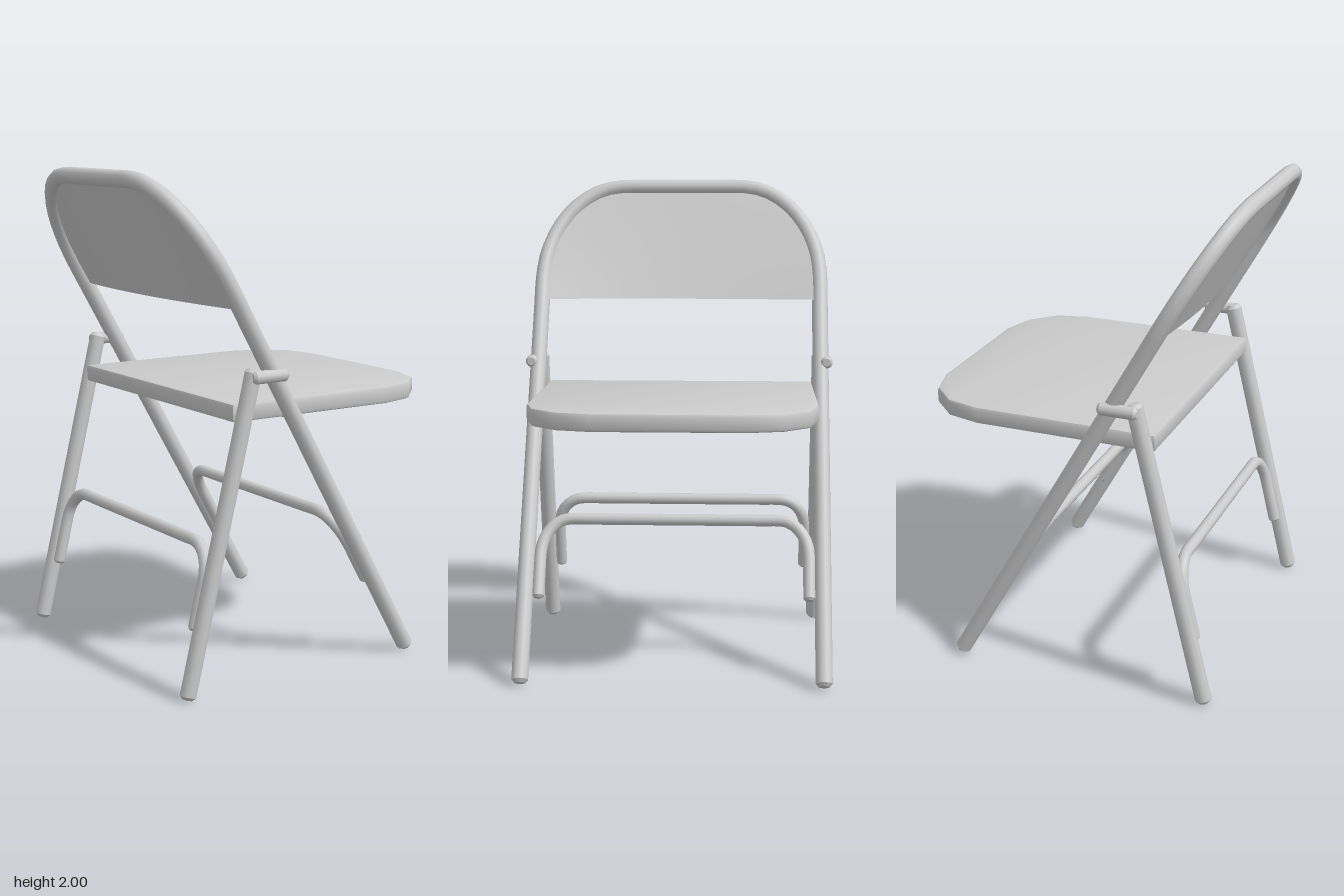
import * as THREE from 'three';
import { toCreasedNormals } from 'three/addons/utils/BufferGeometryUtils.js';

const material = new THREE.MeshStandardMaterial({ color: 0xcccccc });
const V = (x, y, z) => new THREE.Vector3(x, y, z);

// Depth of the two leaning planes at a given height (z is forward)
const frameZ = (y) => 0.54 - 0.568 * (y - 0.02);
const rearZ = (y) => -0.535 + 0.242 * (y - 0.02);

// Top bend of the main frame: elliptical corners between legs and flat top
const HALF = 0.605, FLAT = 0.255, BEND_Y = 1.57, TOP_Y = 1.967;

function mesh(name, geometry) {
  const m = new THREE.Mesh(geometry, material);
  m.name = name;
  return m;
}

// Round tube through points, closed by a small bevelled plug at each end
function tube(name, points, radius, segments) {
  const group = new THREE.Group();
  group.name = name;
  const curve = new THREE.CatmullRomCurve3(points);
  group.add(mesh(name + 'Tube', new THREE.TubeGeometry(curve, segments, radius, 10, false)));
  const bevel = radius * 0.4;
  for (const t of [0, 1]) {
    const out = curve.getTangent(t).multiplyScalar(t ? 1 : -1);
    const cap = mesh(name + 'End', new THREE.CylinderGeometry(radius * 0.65, radius, bevel, 10));
    cap.position.copy(curve.getPoint(t)).addScaledVector(out, bevel / 2);
    cap.quaternion.setFromUnitVectors(V(0, 1, 0), out);
    group.add(cap);
  }
  return group;
}

// Hoop lying in a leaning plane: straight legs, rounded corners, flat top
function hoopPoints(half, flat, footY, bendY, topY, planeZ) {
  const side = [];
  for (const t of [0, 0.35, 0.7, 0.93]) side.push([half, footY + (bendY - footY) * t]);
  for (let i = 0; i <= 6; i++) {
    const a = (i / 6) * Math.PI / 2;
    side.push([flat + (half - flat) * Math.cos(a), bendY + (topY - bendY) * Math.sin(a)]);
  }
  side.push([flat * 0.8, topY]);
  const mirrored = side.map(([x, y]) => [-x, y]).reverse();
  return [...side, ...mirrored].map(([x, y]) => V(x, y, planeZ(y)));
}

function makeSeat() {
  const half = [[0.575, -0.31], [0.575, 0.45], [0.54, 0.59], [0.44, 0.69], [0.3, 0.73]];
  const outline = [...half, ...half.map(([x, z]) => [-x, z]).reverse()];
  const bevel = 0.014;
  const geometry = new THREE.ExtrudeGeometry(
    new THREE.Shape(outline.map(([x, z]) => new THREE.Vector2(x, z))),
    { depth: 0.073 - 2 * bevel, bevelThickness: bevel, bevelSize: bevel, bevelOffset: -bevel, bevelSegments: 2 });
  geometry.rotateX(Math.PI / 2);
  geometry.translate(0, 1.126 - bevel, 0);
  return mesh('seat', toCreasedNormals(geometry, 0.7));
}

// Thin panel filling the top of the hoop, bowed backwards along its lower edge
function makeBackrest() {
  const geometry = new THREE.BoxGeometry(1, 1, 1, 16, 16, 1);
  const p = geometry.attributes.position;
  const low = 1.485;
  for (let i = 0; i < p.count; i++) {
    const t = Math.sin((p.getY(i) + 0.5) * Math.PI / 2);
    const y = low + (TOP_Y - low) * t;
    const s = Math.max(0, (y - BEND_Y) / (TOP_Y - BEND_Y));
    const width = FLAT + (HALF - FLAT) * Math.sqrt(Math.max(0, 1 - s * s));
    const across = 2 * p.getX(i);
    const bow = 0.045 * (1 - across * across) * (1 - t);
    p.setXYZ(i, across * width, y, frameZ(y) + 0.015 * (1 - t) - bow + p.getZ(i) * 0.016);
  }
  geometry.computeVertexNormals();
  return mesh('backrest', geometry);
}

export function createModel() {
  const chair = new THREE.Group();
  chair.name = 'foldingChair';

  // Main frame: front legs running up into the back hoop
  chair.add(tube('mainFrame', hoopPoints(HALF, FLAT, 0.025, BEND_Y, TOP_Y, frameZ), 0.034, 96));
  chair.add(makeBackrest(), makeSeat());

  // Bent braces joining each pair of legs
  chair.add(tube('frontBrace', hoopPoints(0.55, 0.43, 0.325, 0.47, 0.61, frameZ), 0.025, 60));
  chair.add(tube('rearBrace', hoopPoints(0.555, 0.44, 0.265, 0.45, 0.578, rearZ), 0.025, 60));

  // Rod carrying the seat between the frame tubes
  chair.add(tube('seatRod', [V(-0.59, 1.062, -0.04), V(0.59, 1.062, -0.04)], 0.02, 1));

  // Rear legs and the pivot links holding them to the frame
  for (const s of [-1, 1]) {
    const x = s * HALF;
    chair.add(tube('rearLeg', [V(x, 0.018, rearZ(0.018)), V(x, 1.245, rearZ(1.245))], 0.034, 1));
    chair.add(tube('pivotLink', [V(s * 0.63, 1.23, -0.25), V(s * 0.63, 1.23, -0.11)], 0.026, 1));
  }

  // The whole chair stands turned on the spot
  chair.rotation.y = Math.atan2(0.61, -0.79);
  const model = new THREE.Group();
  model.name = 'chair';
  model.add(chair);
  return model;
}
